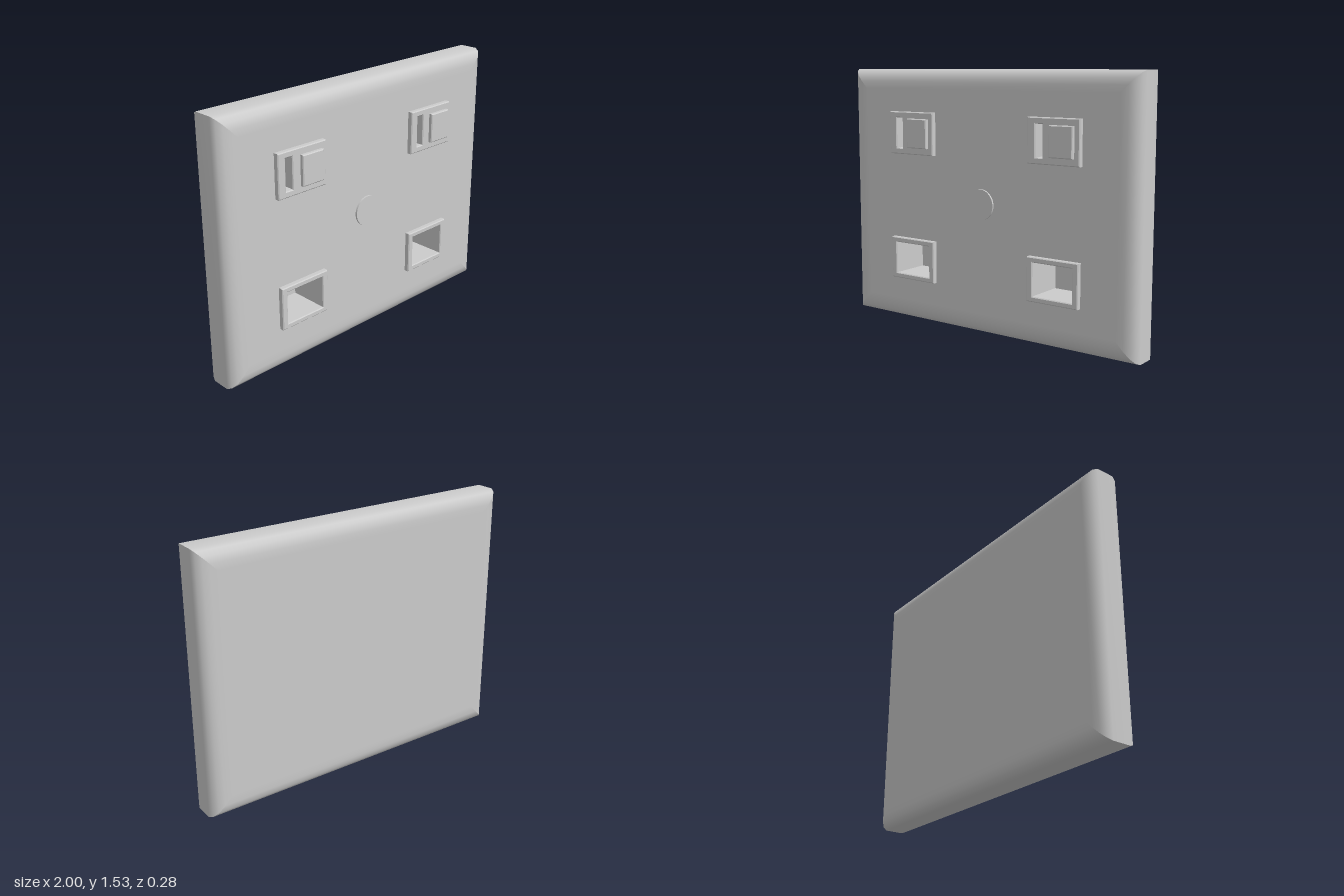
import * as THREE from 'three';

const MID_Y = 0.765, MID_Z = -0.0255, FRONT = 0.0875, BACK = -0.1385;
const mat = new THREE.MeshStandardMaterial({ color: 0xcccccc });

function add(parent, name, geometry, x = 0, y = 0, z = 0) {
  const mesh = new THREE.Mesh(geometry, mat);
  mesh.name = name;
  mesh.position.set(x, y, z);
  parent.add(mesh);
  return mesh;
}

// Rectangle outline centred on (x, y)
function rect(w, h, x = 0, y = 0, Type = THREE.Shape) {
  return new Type([[-1, -1], [1, -1], [1, 1], [-1, 1]].map(
    ([a, b]) => new THREE.Vector2(x + a * w / 2, y + b * h / 2)));
}

// Slab with a small chamfer, running from z0 to z1
function slab(shape, z0, z1, bevel) {
  const g = new THREE.ExtrudeGeometry(shape, {
    depth: z1 - z0 - 2 * bevel, bevelEnabled: true, bevelSegments: 1,
    bevelThickness: bevel, bevelSize: bevel, bevelOffset: -bevel,
  });
  return g.translate(0, 0, z0 + bevel);
}

// One rounded edge of the plate, mitred at both ends
function edgeGeometry(start, end) {
  const half = [[0.12, 0.113], [0.075, 0.113], [0.038, 0.105], [0.012, 0.083], [0, 0.055]];
  const profile = [...half.map(([d, z]) => [d, -z]), ...half.slice().reverse()];
  const pos = [], index = [];
  profile.forEach(([d, z], i) => {
    for (const [sx, sy] of [start, end]) {
      pos.push(sx * (1 - d), MID_Y + sy * (MID_Y - d), MID_Z + z);
    }
    const a = 2 * i;
    if (i < profile.length - 1) index.push(a, a + 1, a + 3, a, a + 3, a + 2);
  });
  const g = new THREE.BufferGeometry();
  g.setAttribute('position', new THREE.Float32BufferAttribute(pos, 3));
  g.setIndex(index);
  g.computeVertexNormals();
  return g;
}

export function createModel() {
  const model = new THREE.Group();
  model.name = 'wallPlate';
  const frameW = 0.33, frameH = 0.253, frameZ = 0.117, floorZ = -0.13;
  const columns = [-0.5, 0.5], switchY = 1.151, socketY = 0.385;

  // Plate: four rounded edges, pierced front and plain back
  const plate = new THREE.Group();
  plate.name = 'plate';
  model.add(plate);
  const corners = [[1, -1], [1, 1], [-1, 1], [-1, -1]];
  corners.forEach((c, i) => add(plate, 'plateEdge', edgeGeometry(c, corners[(i + 1) % 4])));
  const faceW = 1.76, faceH = 1.29;
  const face = rect(faceW, faceH, 0, MID_Y);
  for (const x of columns) for (const y of [switchY, socketY]) {
    face.holes.push(rect(frameW, frameH, x, y, THREE.Path));
  }
  add(plate, 'plateFront', new THREE.ShapeGeometry(face), 0, 0, FRONT);
  add(plate, 'plateBack', new THREE.PlaneGeometry(faceW, faceH), 0, MID_Y, BACK).rotation.y = Math.PI;

  // Raised frame whose opening runs down to a floor inside the plate
  function recessedFrame(parent, w, h, x) {
    const outline = rect(frameW, frameH);
    outline.holes.push(rect(w, h, x, 0, THREE.Path));
    add(parent, 'frame', slab(outline, floorZ, frameZ, 0.005));
    add(parent, 'recessFloor', new THREE.PlaneGeometry(w + 0.012, h + 0.012), x, 0, floorZ + 0.004);
  }

  for (const x of columns) {
    // Switch: slot on one side, raised button on the other
    const sw = new THREE.Group();
    sw.name = 'switch';
    sw.position.set(x, switchY, 0);
    recessedFrame(sw, 0.046, 0.182, -0.091);
    add(sw, 'switchButton', slab(rect(0.148, 0.174), 0.1, 0.139, 0.005), 0.059, 0.001);
    model.add(sw);

    // Open socket
    const socket = new THREE.Group();
    socket.name = 'socket';
    socket.position.set(x, socketY, 0);
    recessedFrame(socket, 0.256, 0.192, 0);
    model.add(socket);
  }

  // Round cap in the middle
  add(model, 'centreCap', new THREE.CylinderGeometry(0.089, 0.089, 0.03, 48), 0, MID_Y, 0.083).rotation.x = Math.PI / 2;

  return model;
}
